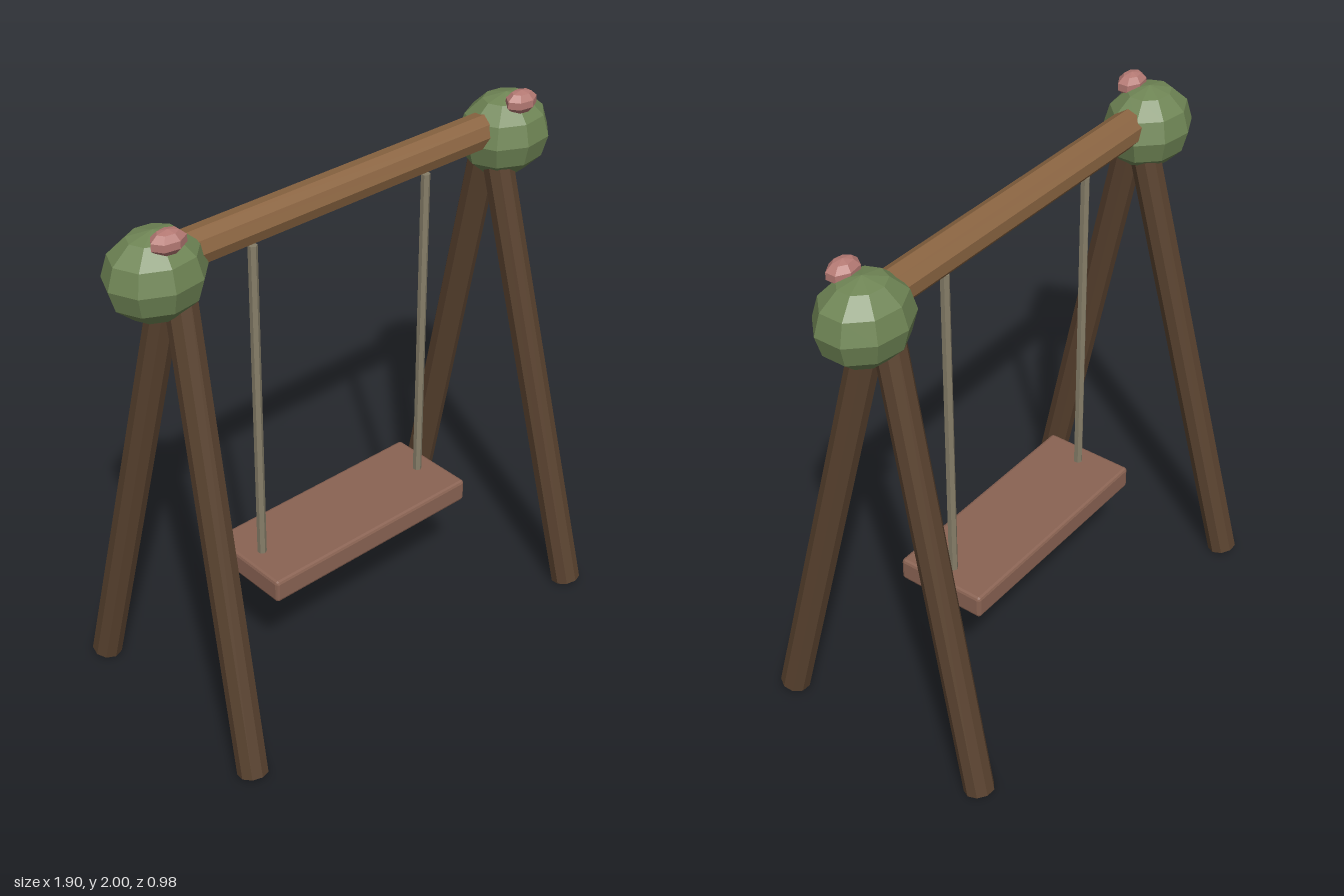
import * as THREE from 'three';
import { RoundedBoxGeometry } from 'three/addons/geometries/RoundedBoxGeometry.js';

const material = (color) => new THREE.MeshStandardMaterial({ color, flatShading: true });

export function createModel() {
  const model = new THREE.Group();
  const beamWood = material(0x8b6542);
  const legWood = material(0x59422f);
  const seatWood = material(0x8a6353);
  const rope = material(0x857d68);
  const leaf = material(0x6f8555);
  const petal = material(0xb57a74);

  const add = (name, geometry, mat, x, y, z) => {
    const mesh = new THREE.Mesh(geometry, mat);
    mesh.name = name;
    mesh.position.set(x, y, z);
    model.add(mesh);
    return mesh;
  };

  // Straight log between two points
  const up = new THREE.Vector3(0, 1, 0);
  const log = (name, from, to, radius, sides, mat) => {
    const a = new THREE.Vector3(...from);
    const dir = new THREE.Vector3(...to).sub(a);
    const mid = a.clone().addScaledVector(dir, 0.5);
    const geometry = new THREE.CylinderGeometry(radius, radius, dir.length(), sides);
    const mesh = add(name, geometry, mat, mid.x, mid.y, mid.z);
    mesh.quaternion.setFromUnitVectors(up, dir.normalize());
  };

  // Top beam
  const beam = add('topBeam', new THREE.CylinderGeometry(0.066, 0.066, 1.52, 9), beamWood, 0, 1.855, 0);
  beam.rotation.z = Math.PI / 2;

  // Seat board with slightly eased edges
  add('seat', new RoundedBoxGeometry(0.935, 0.09, 0.36, 1, 0.012), seatWood, 0, 0.47, 0);

  for (const side of [-1, 1]) {
    const label = side > 0 ? 'left' : 'right';

    // Splayed A-frame legs
    for (const end of [-1, 1]) {
      log(`${label}${end > 0 ? 'Front' : 'Back'}Leg`,
        [side * 0.806, 0.013, end * 0.437], [side * 0.705, 1.85, end * 0.008], 0.056, 9, legWood);
    }

    // Hanging rope
    log(`${label}Rope`, [side * 0.388, 0.5, 0], [side * 0.388, 1.775, 0], 0.017, 6, rope);

    // Leafy bush over the joint, with a blossom on top
    const bush = add(`${label}Bush`, new THREE.SphereGeometry(1, 9, 6), leaf, side * 0.775, 1.815, 0);
    bush.scale.set(0.18, 0.155, 0.153);
    const blossom = add(`${label}Blossom`, new THREE.SphereGeometry(1, 7, 5), petal, side * 0.773, 1.958, 0.075);
    blossom.scale.set(0.068, 0.042, 0.048);
  }
  return model;
}
